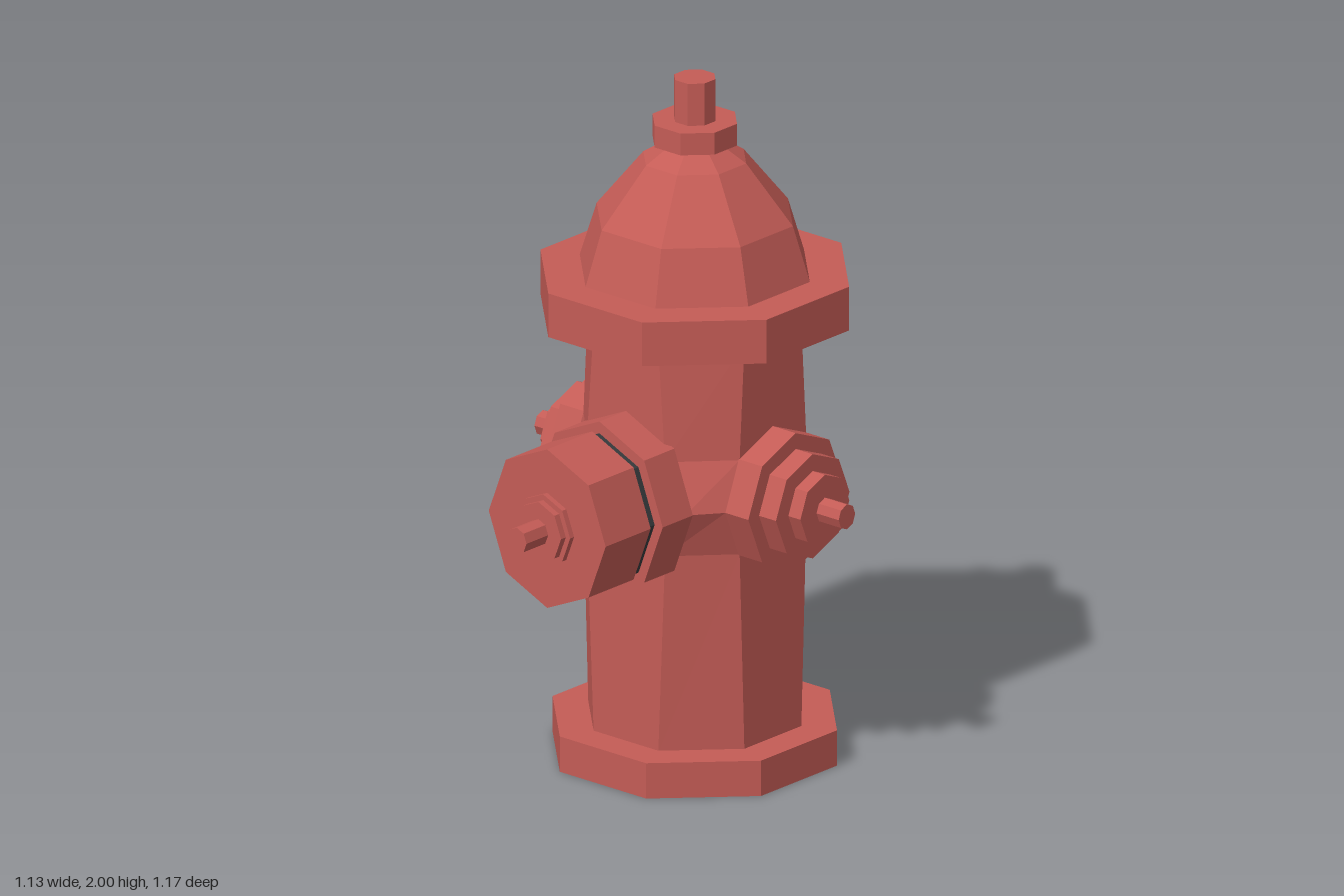
import * as THREE from 'three';

const red = new THREE.MeshStandardMaterial({ color: 0xc45c56 });
red.name = 'hydrant red';
const dark = new THREE.MeshStandardMaterial({ color: 0x363a3c });
dark.name = 'dark gasket';

const AXIS_Z = -0.165; // barrel axis
const PORT_Y = 0.83;   // height of the outlets
const FLAT = Math.PI / 8;

// Faceted mesh: every triangle gets its own normal
function facet(name, geometry, material = red) {
  const g = geometry.index ? geometry.toNonIndexed() : geometry;
  g.computeVertexNormals();
  const mesh = new THREE.Mesh(g, material);
  mesh.name = name;
  return mesh;
}

// Upright octagonal slab with flats facing front and sides
function slab(name, apothem, y0, y1) {
  const r = apothem / Math.cos(FLAT);
  const g = new THREE.CylinderGeometry(r, r, y1 - y0, 8);
  g.rotateY(FLAT).translate(0, (y0 + y1) / 2, 0);
  return facet(name, g);
}

// Octagonal step along +z with a corner pointing up
function step(name, rx, ry, z0, z1, material) {
  const g = new THREE.CylinderGeometry(1, 1, z1 - z0, 8);
  g.rotateX(Math.PI / 2).scale(rx, ry, 1).translate(0, 0, (z0 + z1) / 2);
  return facet(name, g, material);
}

// Barrel: octagon whose faces widen into the outlets at mid height
function barrelGeometry() {
  const R = 0.29, B = 0.12;
  // y, half width of side faces, half width of front face
  const rings = [
    [0.1, B, B], [0.69, 0.14, 0.145], [PORT_Y, 0.2, 0.22], [0.97, 0.14, 0.145], [1.31, B, B],
  ];
  const positions = [], index = [];
  for (const [y, s, f] of rings) {
    const loop = [[f, R], [R, s], [R, -s], [B, -R], [-B, -R], [-R, -s], [-R, s], [-f, R]];
    for (const [x, z] of loop) positions.push(x, y, z);
  }
  for (let i = 0; i < rings.length - 1; i++) {
    for (let j = 0; j < 8; j++) {
      const a = i * 8 + j, b = i * 8 + (j + 1) % 8;
      index.push(a, b, b + 8, a, b + 8, a + 8);
    }
  }
  const g = new THREE.BufferGeometry();
  g.setAttribute('position', new THREE.Float32BufferAttribute(positions, 3));
  g.setIndex(index);
  return g;
}

export function createModel() {
  const model = new THREE.Group();
  model.name = 'hydrant';

  // Barrel with its flanges, dome and top nut
  const column = new THREE.Group();
  column.name = 'column';
  column.position.z = AXIS_Z;
  const domeProfile = [[0.313, 1.43], [0.267, 1.59], [0.14, 1.76], [0.06, 1.815]]
    .map(([a, y]) => new THREE.Vector2(a / Math.cos(FLAT), y));
  column.add(
    slab('baseFlange', 0.387, 0, 0.105),
    facet('barrel', barrelGeometry()),
    slab('topFlange', 0.42, 1.3, 1.43),
    facet('dome', new THREE.LatheGeometry(domeProfile, 8, FLAT)),
    slab('topNut', 0.115, 1.81, 1.875),
    slab('topStem', 0.056, 1.875, 2),
  );
  model.add(column);

  // Large front outlet
  const front = new THREE.Group();
  front.name = 'frontOutlet';
  front.position.y = PORT_Y;
  front.add(
    step('frontPipe', 0.235, 0.257, 0.11, 0.237),
    step('frontGasket', 0.205, 0.222, 0.23, 0.27, dark),
    step('frontCap', 0.217, 0.236, 0.267, 0.457),
    step('frontCapRing', 0.1, 0.107, 0.45, 0.474),
    step('frontCapNut', 0.084, 0.09, 0.47, 0.494),
    step('frontStem', 0.036, 0.039, 0.49, 0.585),
  );
  model.add(front);

  // Mirrored side outlets
  for (const [side, sign] of [['left', 1], ['right', -1]]) {
    const outlet = new THREE.Group();
    outlet.name = side + 'Outlet';
    outlet.position.set(0, PORT_Y, AXIS_Z);
    outlet.rotation.y = sign * Math.PI / 2;
    outlet.add(
      step(side + 'Pipe', 0.2, 0.202, 0.27, 0.375),
      step(side + 'Cap', 0.155, 0.155, 0.37, 0.438),
      step(side + 'CapNut', 0.103, 0.105, 0.43, 0.483),
      step(side + 'Stem', 0.035, 0.037, 0.48, 0.565),
    );
    model.add(outlet);
  }
  return model;
}
